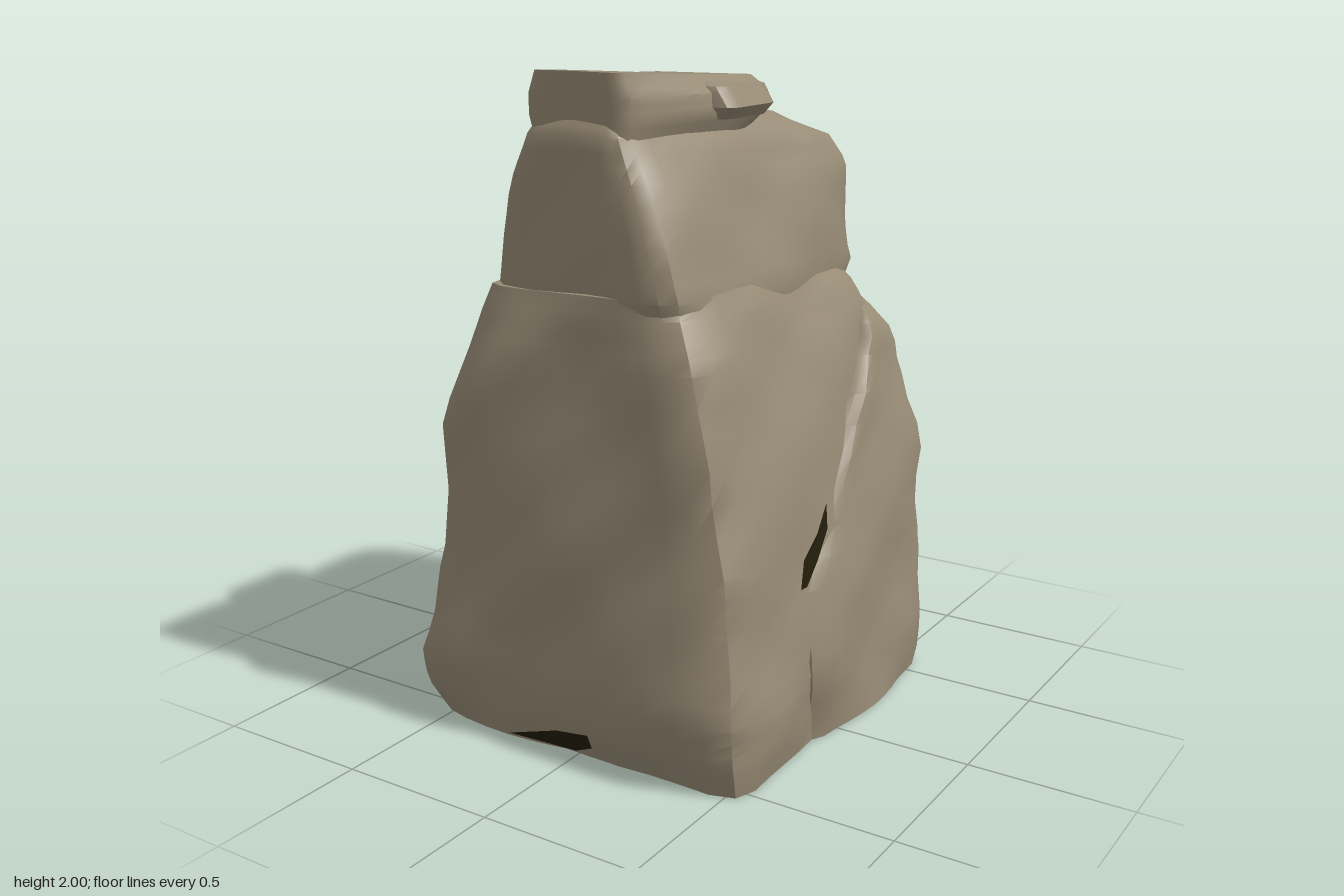
import * as THREE from 'three';
import { toCreasedNormals } from 'three/addons/utils/BufferGeometryUtils.js';

const SEGMENTS = 44;

// Angular wave, -1..1, for chiselled rather than rippled stone
const wave = (t) => (2 / Math.PI) * Math.asin(Math.sin(t));
const rough = (x, y, z, seed) =>
  0.4 * wave(6 * x + 5 * y - 4 * z + seed) +
  0.35 * wave(-9 * x + 10 * y + 8 * z + seed * 2.3) +
  0.25 * wave(15 * x - 17 * y + 14 * z + seed * 3.7);

// Sections: [y, half width at back, half width at front, back z, front z, rise of y per unit z]
function boulder(name, material, sections, { power = 6, bump = 0.03, seed = 1, shift = 0, skew = 0 }) {
  const rows = [];
  const steps = 3;
  sections.forEach((s, i) => {
    const next = sections[i + 1];
    if (!next) return rows.push(s);
    for (let k = 0; k < steps; k++) rows.push(s.map((v, n) => v + ((next[n] - v) * k) / steps));
  });

  const positions = [];
  const index = [];
  rows.forEach(([y, wBack, wFront, zBack, zFront, rise], r) => {
    const flat = r === 0 ? 0 : 1;
    for (let j = 0; j < SEGMENTS; j++) {
      // Walk evenly round a square, then round its corners
      const u = (j / SEGMENTS) * 4;
      const side = Math.floor(u);
      const a = (u - side) * 2 - 1;
      let [dx, dz] = [[a, 1], [1, -a], [-a, -1], [-1, a]][side];
      const len = Math.pow(Math.abs(dx) ** power + Math.abs(dz) ** power, 1 / power);
      dx /= len;
      dz /= len;
      const z = (zBack + zFront) / 2 + (dz * (zFront - zBack)) / 2 + skew * dx;
      const w = wBack + ((wFront - wBack) * (dz + 1)) / 2;
      const x = shift + dx * w;
      const yy = y + rise * z;
      const n = rough(x, yy, z, seed) * bump;
      positions.push(x + dx * n, yy + flat * n * 0.3, z + dz * n);
    }
  });

  for (let r = 0; r < rows.length - 1; r++) {
    for (let j = 0; j < SEGMENTS; j++) {
      const k = (j + 1) % SEGMENTS;
      const a = r * SEGMENTS + j, b = r * SEGMENTS + k;
      index.push(a, b, b + SEGMENTS, a, b + SEGMENTS, a + SEGMENTS);
    }
  }

  // Close the underside and the top
  [[0, true], [rows.length - 1, false]].forEach(([r, under]) => {
    const [y, , , zBack, zFront, rise] = rows[r];
    const z = (zBack + zFront) / 2;
    const centre = positions.length / 3;
    positions.push(shift, y + rise * z, z);
    for (let j = 0; j < SEGMENTS; j++) {
      const a = r * SEGMENTS + j, b = r * SEGMENTS + ((j + 1) % SEGMENTS);
      if (under) index.push(centre, b, a);
      else index.push(centre, a, b);
    }
  });

  const geometry = new THREE.BufferGeometry();
  geometry.setAttribute('position', new THREE.Float32BufferAttribute(positions, 3));
  geometry.setIndex(index);
  const mesh = new THREE.Mesh(toCreasedNormals(geometry, 0.65), material);
  mesh.name = name;
  return mesh;
}

// Thin dark gap: an outline dropped on to the rocks along one direction
function crevice(name, material, rocks, outline, direction) {
  const ray = new THREE.Raycaster();
  const points = [];
  outline.forEach((p) => {
    const start = new THREE.Vector3(...p).addScaledVector(direction, -2);
    ray.set(start, direction);
    const hit = ray.intersectObjects(rocks)[0];
    if (hit) points.push(hit.point.addScaledVector(direction, -0.009));
  });
  const geometry = new THREE.BufferGeometry().setFromPoints(points);
  const index = [];
  for (let i = 1; i < points.length - 1; i++) index.push(0, i, i + 1);
  geometry.setIndex(index);
  geometry.computeVertexNormals();
  const mesh = new THREE.Mesh(geometry, material);
  mesh.name = name;
  return mesh;
}

export function createModel() {
  const group = new THREE.Group();
  group.name = 'rockFormation';
  const stone = new THREE.MeshStandardMaterial({ color: 0x978b75 });
  stone.name = 'brownStone';
  const shade = new THREE.MeshStandardMaterial({ color: 0x221c0a, side: THREE.DoubleSide });
  shade.name = 'darkCrevice';

  // Tall front slab, undercut at the foot
  group.add(boulder('frontRock', stone, [
    [0, 0.55, 0.55, -0.4, 0.57, 0],
    [0.1, 0.56, 0.57, -0.42, 0.61, 0],
    [0.22, 0.57, 0.58, -0.45, 0.63, 0],
    [0.42, 0.56, 0.56, -0.46, 0.615, 0],
    [0.65, 0.54, 0.53, -0.47, 0.605, 0],
    [0.95, 0.49, 0.47, -0.48, 0.595, 0],
    [1.2, 0.44, 0.4, -0.47, 0.585, 0],
    [1.32, 0.39, 0.36, -0.46, 0.57, 0],
    [1.39, 0.345, 0.335, -0.44, 0.555, 0],
  ], { power: 10, bump: 0.028, seed: 1, skew: -0.015 }));

  // Rear boulder with its leading edge slanting backwards
  group.add(boulder('rearRock', stone, [
    [0, 0.575, 0.575, -0.63, 0.15, 0],
    [0.2, 0.59, 0.59, -0.645, 0.18, 0],
    [0.5, 0.58, 0.585, -0.64, 0.21, 0],
    [0.75, 0.545, 0.56, -0.62, 0.01, 0],
    [1.0, 0.49, 0.51, -0.585, -0.22, 0],
    [1.15, 0.43, 0.46, -0.56, -0.36, 0],
    [1.25, 0.34, 0.38, -0.5, -0.43, 0],
  ], { power: 11, bump: 0.032, seed: 4 }));

  // Upper boulder, narrower to the front and sunk into the slab below
  group.add(boulder('upperRock', stone, [
    [1.24, 0.34, 0.34, -0.45, 0.5, 0],
    [1.38, 0.365, 0.34, -0.53, 0.55, 0.01],
    [1.52, 0.35, 0.3, -0.52, 0.555, 0.02],
    [1.68, 0.33, 0.235, -0.5, 0.55, 0.04],
    [1.79, 0.29, 0.18, -0.465, 0.545, 0.06],
    [1.86, 0.2, 0.14, -0.26, 0.51, 0.05],
  ], { power: 9, bump: 0.022, seed: 7 }));

  // Long cap slab running to the front
  group.add(boulder('capRock', stone, [
    [1.8, 0.2, 0.16, -0.06, 0.54, 0],
    [1.87, 0.25, 0.18, -0.125, 0.545, 0],
    [1.92, 0.24, 0.18, -0.125, 0.55, 0.02],
    [1.965, 0.17, 0.16, -0.12, 0.555, 0.055],
  ], { power: 9, bump: 0.012, seed: 9, shift: 0.012 }));

  // Overhanging brow of the cap, widest at its front edge
  group.add(boulder('capBrow', stone, [
    [1.85, 0.24, 0.25, -0.11, 0.17, 0],
    [1.885, 0.265, 0.295, -0.13, 0.2, 0],
    [1.94, 0.24, 0.25, -0.125, 0.2, 0.01],
    [1.96, 0.16, 0.16, -0.12, 0.2, 0.03],
  ], { power: 9, bump: 0.012, seed: 11 }));

  // Dark gaps at the seams and the foot
  const rocks = [...group.children];
  for (const s of [-1, 1]) {
    const inward = new THREE.Vector3(-s, 0, 0);
    group.add(crevice('sideCrevice', shade, rocks, [
      [0, 0.52, 0.21], [0, 0.52, 0.18], [0, 0.58, 0.11], [0, 0.66, 0.05],
      [0, 0.73, 0.03], [0, 0.66, 0.11], [0, 0.6, 0.18],
    ], inward));
  }
  group.add(crevice('cornerGap', shade, rocks, [
    [0, 0.02, 0.5], [0, 0.1, 0.57], [0, 0.08, 0.51], [0, 0.04, 0.49],
  ], new THREE.Vector3(1, 0, 0)));
  group.add(crevice('footGap', shade, rocks, [
    [-0.24, 0.015, 0], [0, 0.015, 0], [0.07, 0.05, 0], [0.07, 0.1, 0], [-0.05, 0.08, 0],
  ], new THREE.Vector3(0, 0, -1)));

  return group;
}
